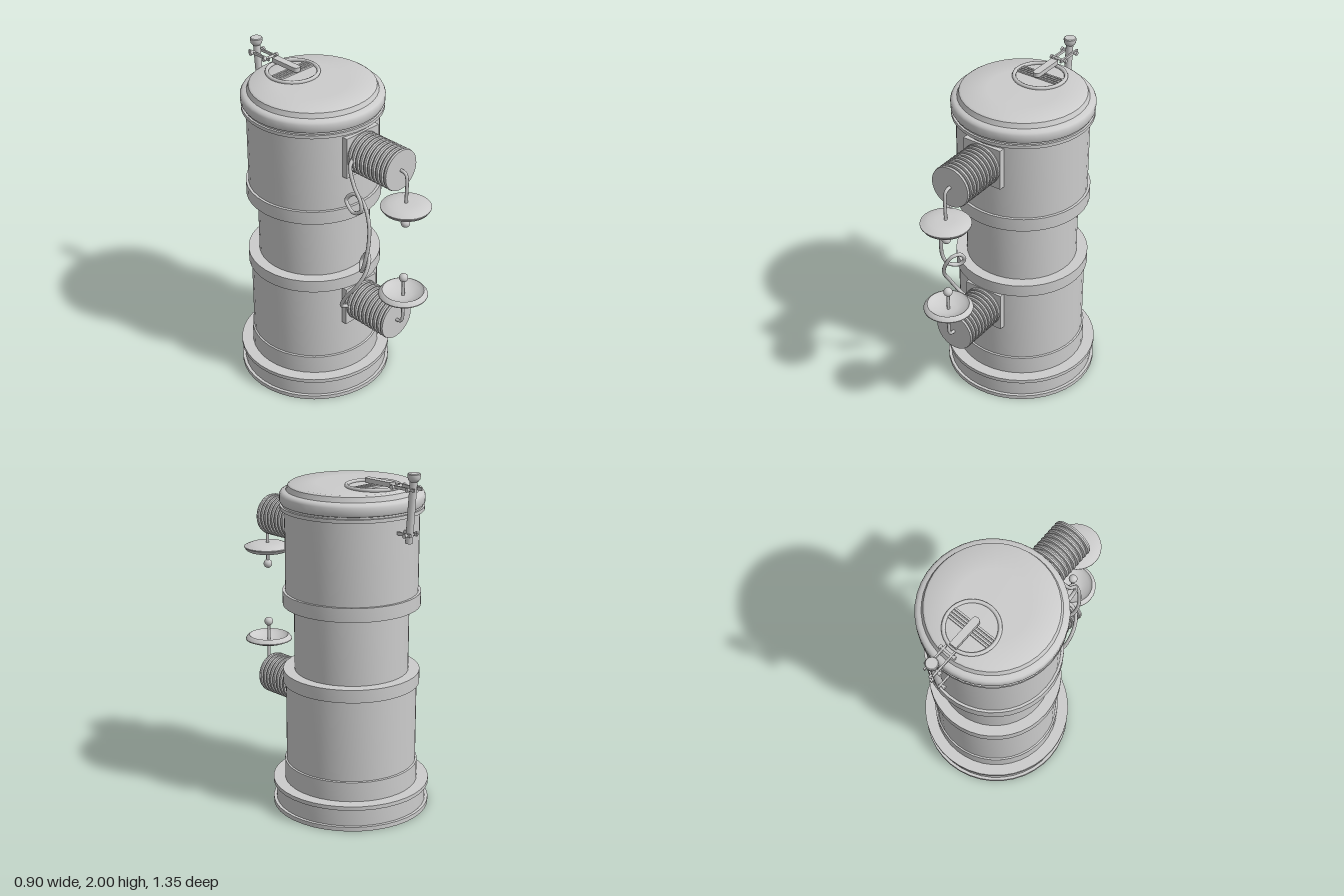
import * as THREE from 'three';
import { toCreasedNormals } from 'three/addons/utils/BufferGeometryUtils.js';

const AXIS_Z = -0.18;
const material = new THREE.MeshStandardMaterial({ color: 0xcccccc });

function add(parent, name, geometry, x = 0, y = 0, z = 0) {
  const mesh = new THREE.Mesh(geometry, material);
  mesh.name = name;
  mesh.position.set(x, y, z);
  parent.add(mesh);
  return mesh;
}

// Turned part from [radius, height] pairs, bottom to top, with crisp corners
function turned(points, segments = 40) {
  const profile = points.map(([r, y]) => new THREE.Vector2(r, y));
  return toCreasedNormals(new THREE.LatheGeometry(profile, segments), 0.6);
}

function tube(points, radius, steps) {
  const curve = new THREE.CatmullRomCurve3(points.map((p) => new THREE.Vector3(...p)));
  return new THREE.TubeGeometry(curve, steps, radius, 8);
}

// Straight cylinder between two points
function rod(parent, name, a, b, radius) {
  const start = new THREE.Vector3(...a);
  const dir = new THREE.Vector3(...b).sub(start);
  const mesh = add(parent, name, new THREE.CylinderGeometry(radius, radius, dir.length(), 12));
  mesh.position.copy(start).addScaledVector(dir, 0.5);
  mesh.quaternion.setFromUnitVectors(new THREE.Vector3(0, 1, 0), dir.normalize());
  return mesh;
}

// Ribbed insulator with bent rod, saucer and ball; dir = -1 hangs down, 1 stands up
function createTerminal(name, y, dir) {
  const g = new THREE.Group();
  g.name = name;
  g.position.y = y;
  add(g, 'mountingPlate', new THREE.BoxGeometry(0.244, 0.244, 0.04), 0, 0, 0.188);

  const ribs = 10, pitch = 0.0295;
  const profile = [[0, 0]];
  for (let i = 0; i < ribs; i++) {
    const s = i * pitch;
    profile.push([0.102, s], [0.102, s + 0.009], [0.119, s + 0.011], [0.122, s + 0.019],
      [0.119, s + pitch - 0.002]);
  }
  profile.push([0.119, ribs * pitch], [0, ribs * pitch]);
  const insulator = add(g, 'ribbedInsulator', turned(profile, 32), 0, 0, 0.197);
  insulator.rotation.x = Math.PI / 2;

  add(g, 'bentRod', tube([[0, 0, 0.48], [0, 0, 0.505], [0, dir * 0.008, 0.525],
    [0, dir * 0.03, 0.535], [0, dir * 0.17, 0.535], [0, dir * 0.31, 0.535]], 0.0095, 48));

  // Shallow saucer, its hollow side towards the ball
  const saucer = add(g, 'saucer', turned([[0, 0.014], [0.05, 0.011], [0.1, -0.004], [0.118, -0.022],
    [0.128, -0.016], [0.14, 0.001], [0.14, 0.006], [0.122, 0.014], [0.096, 0.024],
    [0.05, 0.026], [0, 0.027]], 28), 0, dir * 0.208, 0.535);
  if (dir > 0) saucer.rotation.x = Math.PI;
  add(g, 'ball', new THREE.SphereGeometry(0.026, 20, 14), 0, dir * 0.312, 0.535);
  return g;
}

// Vent grille and the hinged crank on the lid
function createCrank() {
  const g = new THREE.Group();
  g.name = 'crankAssembly';
  const ring = add(g, 'ventRing', new THREE.TorusGeometry(0.145, 0.011, 8, 40), 0, 1.893, -0.34);
  ring.rotation.x = Math.PI / 2;
  for (let i = 0; i < 4; i++) {
    add(g, 'ventSlat', new THREE.BoxGeometry(0.284, 0.014, 0.011), 0, 1.89, -0.316 - i * 0.018);
  }

  // Flat arm with a rounded front end
  const arm = new THREE.Shape();
  arm.absarc(0, -0.315, 0.022, Math.PI, Math.PI * 2, false);
  arm.lineTo(0.022, -0.14);
  arm.lineTo(-0.022, -0.14);
  arm.closePath();
  const armMesh = add(g, 'lidArm', new THREE.ExtrudeGeometry(arm,
    { depth: 0.026, bevelEnabled: false, curveSegments: 12 }), 0, 1.93, -0.67);
  armMesh.rotation.x = Math.PI / 2;
  armMesh.scale.y = -1;
  armMesh.position.z = -0.625;
  armMesh.geometry.scale(1, -1, 1);
  armMesh.scale.y = 1;
  armMesh.geometry.index?.array.reverse();
  // Reflected outline: restore the outward order of each triangle
  if (!armMesh.geometry.index) {
    const n = armMesh.geometry.attributes.position.count;
    armMesh.geometry.setIndex(Array.from({ length: n }, (_, i) => n - 1 - i));
  }
  armMesh.geometry.computeVertexNormals();
  armMesh.geometry = toCreasedNormals(armMesh.geometry, 0.6);

  // Link plates and pins
  for (const side of [-1, 1]) {
    add(g, 'upperLink', new THREE.BoxGeometry(0.01, 0.016, 0.17), side * 0.029, 1.915, -0.585);
    add(g, 'lowerLink', new THREE.BoxGeometry(0.01, 0.018, 0.1), side * 0.025, 1.668, -0.595);
  }
  for (const [y, z] of [[1.915, -0.525], [1.915, -0.635], [1.668, -0.622]]) {
    rod(g, 'pin', [-0.047, y, z], [0.047, y, z], 0.008);
    for (const side of [-1, 1]) {
      rod(g, 'pinHead', [side * 0.04, y, z], [side * 0.053, y, z], 0.012);
    }
  }

  // Upright lever with its knob
  rod(g, 'leverRod', [0, 1.62, -0.61], [0, 1.97, -0.637], 0.021);
  add(g, 'leverKnob', turned([[0, 1.95], [0.022, 1.955], [0.033, 1.968], [0.036, 1.985],
    [0.036, 1.995], [0.032, 2.0], [0, 2.0]], 12), 0, 0, -0.638);
  return g;
}

export function createModel() {
  const model = new THREE.Group();
  model.name = 'insulatedColumn';

  // Column and base
  add(model, 'base', turned([[0, 0], [0.452, 0], [0.452, 0.025], [0.434, 0.025], [0.434, 0.127],
    [0.452, 0.127], [0.452, 0.15], [0, 0.15]]), 0, 0, AXIS_Z);
  add(model, 'column', turned([[0.384, 0.15], [0.384, 0.265], [0.374, 0.268], [0.374, 0.74],
    [0.389, 0.74], [0.389, 0.815], [0.325, 0.815], [0.325, 1.2], [0.389, 1.2], [0.389, 1.28],
    [0.374, 1.28], [0.374, 1.745], [0.3, 1.745]]), 0, 0, AXIS_Z);

  // Lid with a lower flange and rounded shoulder
  add(model, 'lid', turned([[0, 1.745], [0.4, 1.745], [0.4, 1.765], [0.388, 1.765], [0.388, 1.775],
    [0.396, 1.778], [0.402, 1.79], [0.402, 1.826], [0.396, 1.838], [0.384, 1.845], [0.366, 1.849],
    [0.36, 1.862], [0.355, 1.876], [0.343, 1.884], [0.2, 1.887], [0, 1.888]]), 0, 0, AXIS_Z);

  model.add(createCrank());
  model.add(createTerminal('upperTerminal', 1.6, -1));
  model.add(createTerminal('lowerTerminal', 0.615, 1));

  // Looped cable between the terminals
  add(model, 'cable', tube([[-0.11, 1.61, 0.24], [-0.14, 1.58, 0.25], [-0.15, 1.48, 0.29],
    [-0.15, 1.4, 0.34], [-0.15, 1.345, 0.345], [-0.15, 1.31, 0.285], [-0.14, 1.36, 0.222],
    [-0.125, 1.41, 0.27], [-0.125, 1.385, 0.335], [-0.13, 1.28, 0.385], [-0.145, 1.15, 0.4],
    [-0.155, 1.01, 0.378], [-0.14, 0.945, 0.345], [-0.1, 0.93, 0.3], [-0.075, 0.965, 0.284],
    [-0.075, 1.025, 0.325], [-0.1, 1.02, 0.365], [-0.14, 0.95, 0.378], [-0.175, 0.86, 0.345],
    [-0.19, 0.75, 0.27], [-0.17, 0.66, 0.22], [-0.11, 0.62, 0.21]], 0.011, 200));

  return model;
}
